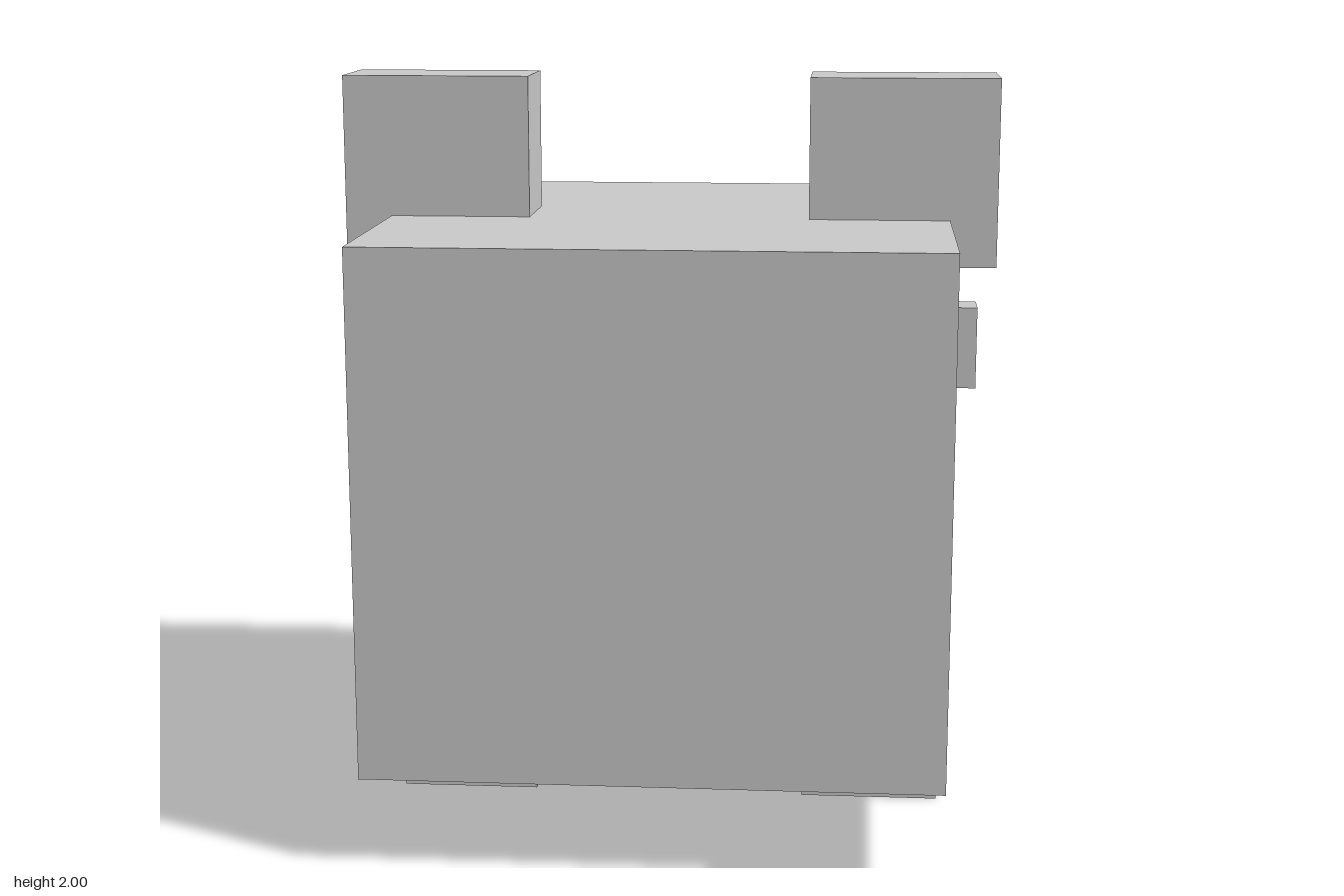
import * as THREE from 'three';

const material = new THREE.MeshStandardMaterial({ color: 0xcccccc, flatShading: true });

// Box given by its minimum and maximum corners
function box(name, [x0, y0, z0], [x1, y1, z1]) {
  const mesh = new THREE.Mesh(new THREE.BoxGeometry(x1 - x0, y1 - y0, z1 - z0), material);
  mesh.position.set((x0 + x1) / 2, (y0 + y1) / 2, (z0 + z1) / 2);
  mesh.name = name;
  return mesh;
}

// Left half of the stepped mouth outline, from the top down to the middle of the lip
const mouthHalf = [
  [0.375, 1], [0.375, 0.875], [0.5, 0.875], [0.5, 0.625], [0.375, 0.625], [0.375, 0.5],
  [0.25, 0.5], [0.25, 0.625], [0.125, 0.625], [0.125, 0.75],
];

// Plate on the -z side with the mouth cut through it
function facePlate(backZ, depth) {
  const plate = new THREE.Shape([
    new THREE.Vector2(-0.75, 0.25), new THREE.Vector2(0.75, 0.25),
    new THREE.Vector2(0.75, 1.625), new THREE.Vector2(-0.75, 1.625),
  ]);
  const left = mouthHalf.map(([x, y]) => new THREE.Vector2(x, y));
  const right = mouthHalf.map(([x, y]) => new THREE.Vector2(-x, y)).reverse();
  plate.holes.push(new THREE.Path([...left, ...right]));
  const geometry = new THREE.ExtrudeGeometry(plate, { depth, bevelEnabled: false });
  const mesh = new THREE.Mesh(geometry, material);
  mesh.position.z = backZ;
  mesh.name = 'facePlateWithMouth';
  return mesh;
}

export function createModel() {
  const model = new THREE.Group();
  model.name = 'blockCreature';

  // Body: solid block plus the face plate; the block forms the floor of the mouth
  model.add(box('body', [-0.75, 0.25, -0.5625], [0.75, 1.625, 0.8125]));
  model.add(facePlate(-0.6875, 0.125));

  // Paired parts, built on the left and mirrored to the right
  const pairs = [
    ['Ear', 0.375, 0.875, 1.5, 2, -0.0625, 0.1875],
    ['Foot', 0.375, 0.75, 0, 0.25, -0.0625, 0.1875],
    ['Eye', 0.625, 0.875, 1, 1.25, -0.8125, -0.6875],
  ];
  for (const [name, x0, x1, y0, y1, z0, z1] of pairs) {
    model.add(box('left' + name, [x0, y0, z0], [x1, y1, z1]));
    model.add(box('right' + name, [-x1, y0, z0], [-x0, y1, z1]));
  }
  return model;
}
